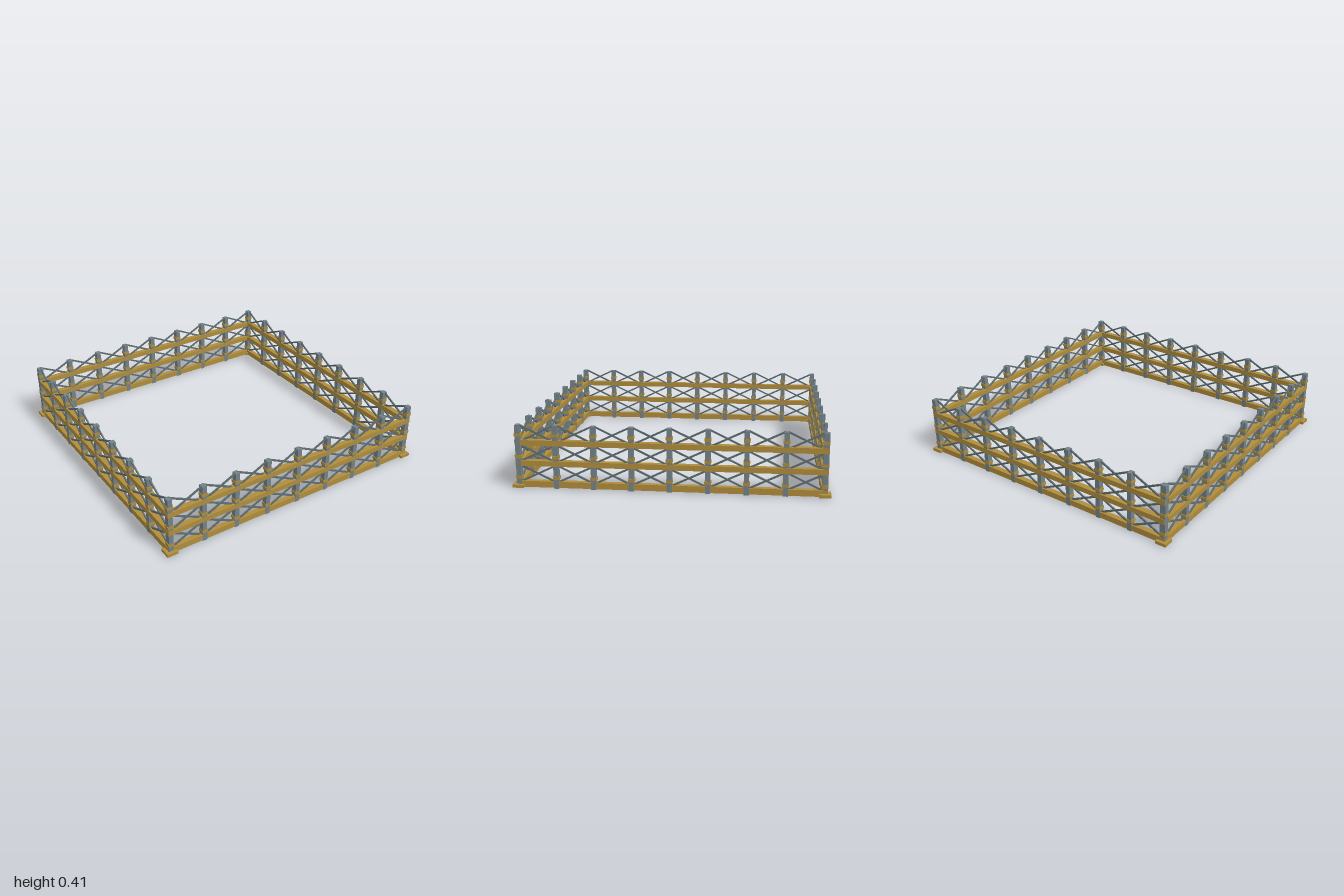
import * as THREE from 'three';

export function createModel() {
  const model = new THREE.Group();
  model.name = 'squareFence';

  const timber = new THREE.MeshStandardMaterial({ color: 0xb08d3c });
  timber.name = 'golden timber';
  const steel = new THREE.MeshStandardMaterial({ color: 0x738288 });
  steel.name = 'grey steel';
  const darkSteel = new THREE.MeshStandardMaterial({ color: 0x5f6d72 });
  darkSteel.name = 'dark grey brace';

  const EDGE = 0.96, BAYS = 8, BAY = (2 * EDGE) / BAYS, POST_H = 0.41;

  function box(parent, name, size, pos, material) {
    const mesh = new THREE.Mesh(new THREE.BoxGeometry(...size), material);
    mesh.position.set(...pos);
    mesh.name = name;
    parent.add(mesh);
    return mesh;
  }

  // One side of the fence, running along x at z = EDGE
  function fenceSide(name, isLong) {
    const side = new THREE.Group();
    side.name = name;

    // Posts with strapped collars; each side owns its first corner post
    for (let i = 0; i < BAYS; i++) {
      const x = -EDGE + i * BAY;
      box(side, 'post', [0.032, POST_H, 0.037], [x, POST_H / 2, EDGE], steel);
      for (const y of [0.07, 0.205, 0.347]) {
        box(side, 'collar', [0.041, 0.02, 0.041], [x, y, EDGE], timber);
      }
    }

    // Rails: two opposite sides run through the corners, the others butt in
    const length = isLong ? 1.956 : 1.884;
    box(side, 'bottomRail', [length, 0.04, 0.035], [0, 0.026, EDGE], timber);
    for (const y of [0.163, 0.297]) {
      box(side, 'rail', [length, 0.035, 0.039], [0, y, EDGE], timber);
    }

    // Crossed braces in every bay, three tiers high
    const rise = 0.116;
    const braceLength = Math.hypot(BAY, rise) - 0.02;
    for (let i = 0; i < BAYS; i++) {
      const x = -EDGE + (i + 0.5) * BAY;
      for (const y of [0.092, 0.225, 0.354]) {
        for (const s of [-1, 1]) {
          const brace = box(side, 'crossBrace', [braceLength, 0.011, 0.009],
            [x, y, EDGE + s * 0.003], darkSteel);
          brace.rotation.z = s * Math.atan2(rise, BAY);
        }
      }
    }

    // Corner foot plate
    box(side, 'cornerFoot', [0.075, 0.02, 0.075], [-0.9625, 0.015, 0.9625], timber);
    return side;
  }

  ['frontSide', 'leftSide', 'backSide', 'rightSide'].forEach((name, i) => {
    const side = fenceSide(name, i % 2 === 0);
    side.rotation.y = (i * Math.PI) / 2;
    model.add(side);
  });

  return model;
}
